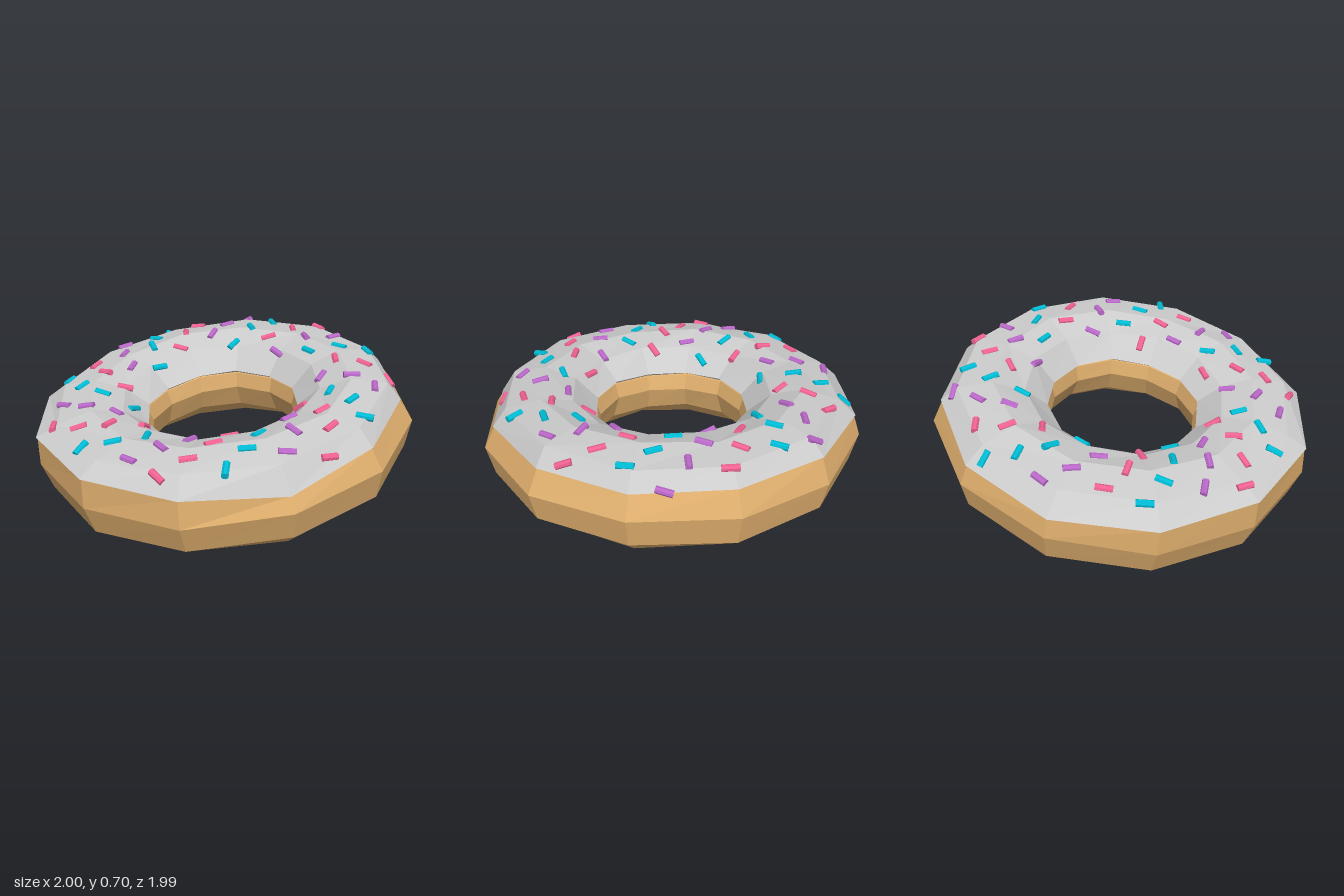
import * as THREE from 'three';

const SIDES = 12;
const OFFSET = THREE.MathUtils.degToRad(7.5);
const material = (color) => new THREE.MeshStandardMaterial({ color, flatShading: true });
const segmentAngle = (k) => OFFSET + (k / SIDES) * Math.PI * 2;

// Sweeps a cross-section of [radius, height] points round the ring.
// The section may change with the segment number k.
function sweepRing(section, closed) {
  const count = section(0).length;
  const positions = [], index = [];
  for (let k = 0; k < SIDES; k++) {
    const angle = segmentAngle(k);
    section(k).forEach(([r, h]) => {
      const wobble = 0.006 * Math.sin(k * 2.1 + r * 25);
      positions.push(r * Math.cos(angle), h + wobble, r * Math.sin(angle));
    });
    for (let j = 0; j < (closed ? count : count - 1); j++) {
      const next = ((k + 1) % SIDES) * count, j2 = (j + 1) % count;
      const a = k * count + j, b = k * count + j2, c = next + j2, d = next + j;
      index.push(a, c, b, a, d, c);
    }
  }
  const geometry = new THREE.BufferGeometry();
  geometry.setAttribute('position', new THREE.Float32BufferAttribute(positions, 3));
  geometry.setIndex(index);
  const flat = geometry.toNonIndexed();
  flat.computeVertexNormals();
  return flat;
}

// Uneven line where the icing meets the outer wall of the dough
const EDGE_HEIGHT = [0.14, 0.09, 0.155, 0.178, 0.178, 0.16, 0.13, 0.13, 0.15, 0.15, 0.13, 0.135];
const icingEdge = (k) => {
  const angle = segmentAngle(k);
  return [0.974 - 0.02 * Math.cos(angle) + 0.017 * Math.sin(angle), EDGE_HEIGHT[k]];
};

// Dough section: outer wall, underside, hole, then the top under the icing
const doughSection = (k) => {
  const [r, h] = icingEdge(k);
  return [
    [1.008, 0.02], [0.968, -0.135], [0.875, -0.21], [0.72, -0.255], [0.56, -0.22], [0.45, -0.13],
    [0.402, 0], [0.428, 0.08], [0.55, 0.17], [0.7, 0.21], [0.86, 0.175], [r - 0.008, h],
  ];
};

// Icing section: hole edge, over the top, down to the outer edge and under it
const icingSection = (k) => {
  const [r, h] = icingEdge(k);
  return [[0.44, 0.08], [0.412, 0.1], [0.535, 0.21], [0.7, 0.255], [0.885, 0.225], [r, h], [r - 0.03, h - 0.015]];
};

// Lays sprinkles of three colours in an even spiral scatter on the icing
function addSprinkles(model, icing) {
  const total = 70;
  const geometry = new THREE.CylinderGeometry(0.018, 0.018, 0.085, 8);
  const paints = [0xf06292, 0x00bcd4, 0xba68c8].map(material);
  const up = new THREE.Vector3(0, 1, 0);
  const down = new THREE.Vector3(0, -1, 0);
  const ray = new THREE.Raycaster();
  const group = new THREE.Group();
  group.name = 'sprinkles';
  for (let i = 0; i < total; i++) {
    const r = Math.sqrt(THREE.MathUtils.lerp(0.47 ** 2, 0.92 ** 2, (i + 0.5) / total));
    const angle = i * 2.39996;
    ray.set(new THREE.Vector3(r * Math.cos(angle), 2, r * Math.sin(angle)), down);
    const [hit] = ray.intersectObject(icing);
    if (!hit) continue;
    const normal = hit.face.normal.clone().transformDirection(icing.matrixWorld);
    const heading = i * i * 1.7;
    const along = new THREE.Vector3(Math.cos(heading), 0, Math.sin(heading)).projectOnPlane(normal).normalize();
    const sprinkle = new THREE.Mesh(geometry, paints[i % 3]);
    sprinkle.name = 'sprinkle';
    sprinkle.position.copy(hit.point);
    sprinkle.quaternion.setFromUnitVectors(up, along);
    group.add(sprinkle);
  }
  model.add(group);
}

export function createModel() {
  const model = new THREE.Group();
  model.name = 'doughnut';

  // Ring, tipped slightly towards the front and one side
  const ring = new THREE.Group();
  ring.name = 'icedRing';
  const dough = new THREE.Mesh(sweepRing(doughSection, true), material(0xdcac6c));
  dough.name = 'dough';
  const icing = new THREE.Mesh(sweepRing(icingSection, false), material(0xcccccc));
  icing.name = 'icing';
  icing.material.side = THREE.DoubleSide;
  ring.add(dough, icing);
  ring.rotation.set(THREE.MathUtils.degToRad(6.5), 0, THREE.MathUtils.degToRad(2.9));
  model.add(ring);

  // Stand the ring on the ground, centred
  const box = new THREE.Box3().setFromObject(ring, true);
  const middle = box.getCenter(new THREE.Vector3());
  ring.position.set(-middle.x, -box.min.y, -middle.z);
  model.updateMatrixWorld(true);

  addSprinkles(model, icing);
  return model;
}
